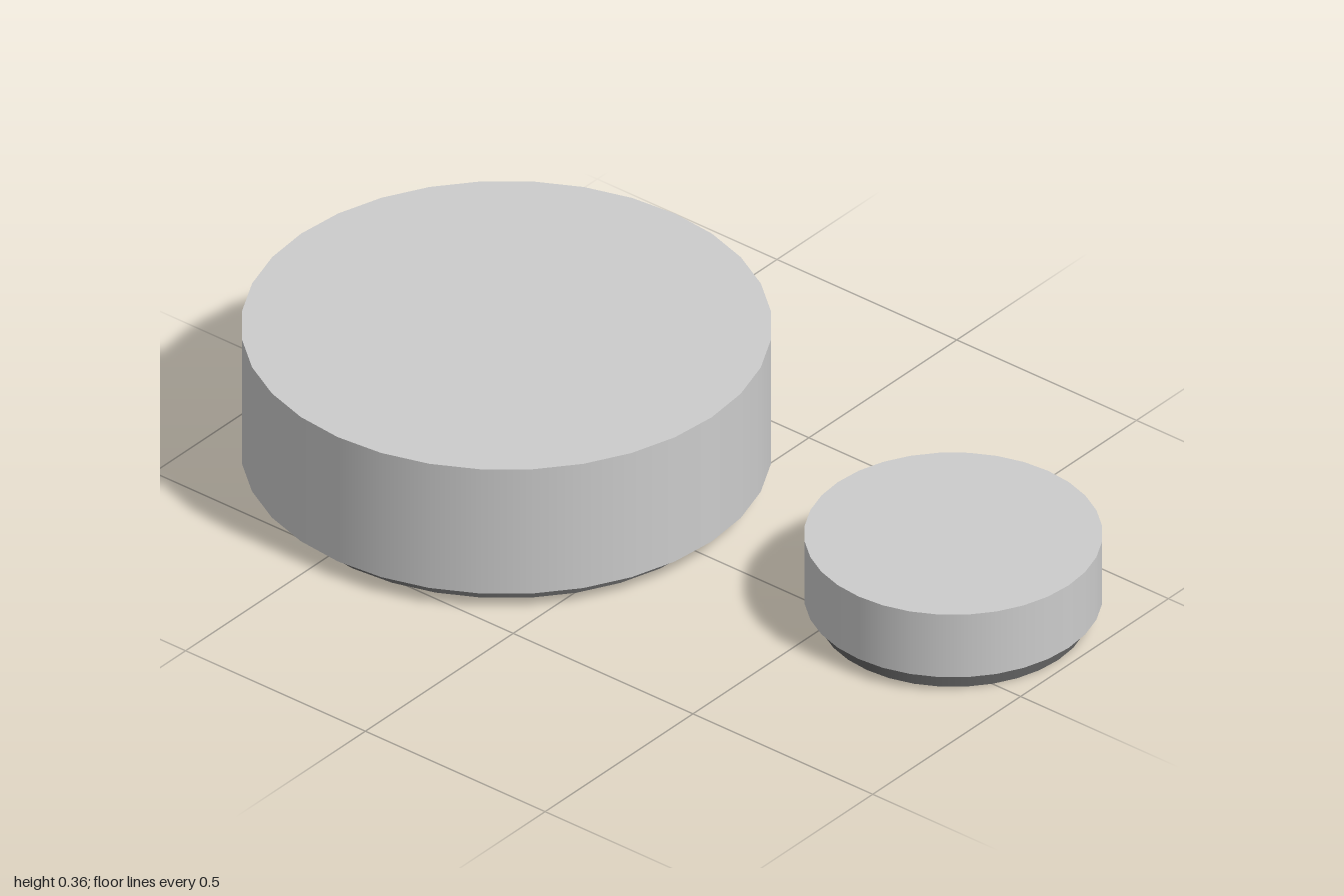
import * as THREE from 'three';

const SEGMENTS = 32;
const bodyMaterial = new THREE.MeshStandardMaterial({ color: 0xcccccc });
const baseMaterial = new THREE.MeshStandardMaterial({ color: 0x606060 });
const ringMaterial = new THREE.MeshStandardMaterial({ color: 0xb020a0 });

const BASE_HEIGHT = 0.043;

function addMesh(group, name, geometry, material, y) {
  const mesh = new THREE.Mesh(geometry, material);
  mesh.name = name;
  mesh.position.y = y;
  group.add(mesh);
  return mesh;
}

// A round platform: wide drum on a slightly narrower dark foot, with a thin ring under the overhang
function createPlatform({ name, x, z, radius, top, baseRadius, ringWidth }) {
  const group = new THREE.Group();
  group.name = name;
  group.position.set(x, 0, z);

  const height = top - BASE_HEIGHT;
  addMesh(group, 'drum', new THREE.CylinderGeometry(radius, radius, height, SEGMENTS),
    bodyMaterial, BASE_HEIGHT + height / 2);
  addMesh(group, 'foot', new THREE.CylinderGeometry(baseRadius, baseRadius, BASE_HEIGHT, SEGMENTS),
    baseMaterial, BASE_HEIGHT / 2);

  // Coloured ring faces down, just below the drum's underside
  const ring = new THREE.RingGeometry(baseRadius, baseRadius + ringWidth, SEGMENTS).rotateX(Math.PI / 2);
  addMesh(group, 'underglowRing', ring, ringMaterial, BASE_HEIGHT - 0.002);
  return group;
}

export function createModel() {
  const model = new THREE.Group();
  model.name = 'roundPlatforms';
  model.add(
    createPlatform({ name: 'largePlatform', x: -0.43, z: 0, radius: 0.571, top: 0.361, baseRadius: 0.521, ringWidth: 0.016 }),
    createPlatform({ name: 'smallPlatform', x: 0.679, z: -0.163, radius: 0.321, top: 0.203, baseRadius: 0.292, ringWidth: 0.009 })
  );
  return model;
}
